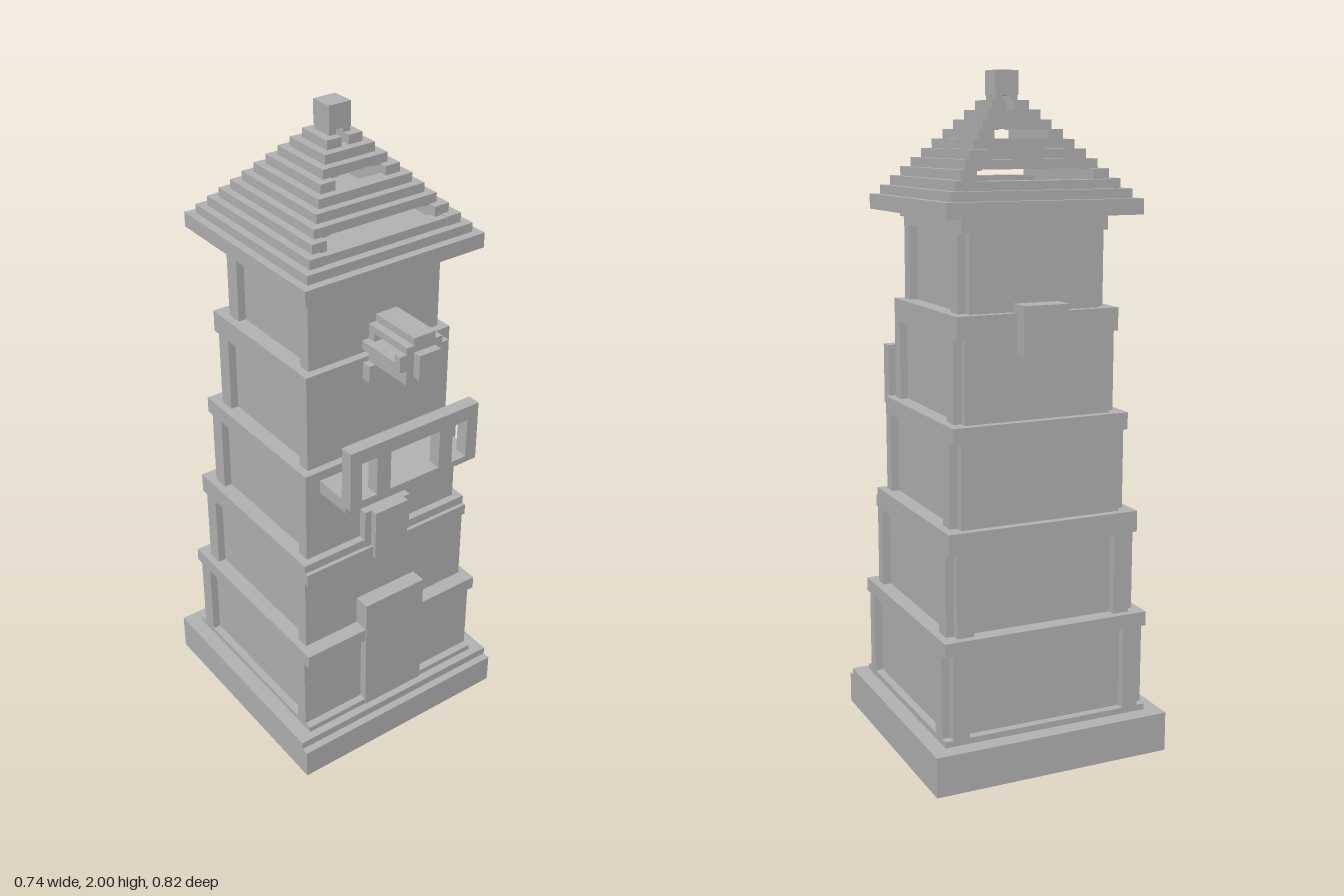
import * as THREE from 'three';

const ZC = -0.038; // depth centre of the tower shaft
const V = 0.0245; // block size

export function createModel() {
  const model = new THREE.Group();
  const stone = new THREE.MeshStandardMaterial({ color: 0xb3b3b3 });
  stone.name = 'stone grey';

  // Box given by its min and max on each axis
  function box(parent, name, x0, x1, y0, y1, z0, z1) {
    const mesh = new THREE.Mesh(new THREE.BoxGeometry(x1 - x0, y1 - y0, z1 - z0), stone);
    mesh.position.set((x0 + x1) / 2, (y0 + y1) / 2, (z0 + z1) / 2);
    mesh.name = name;
    parent.add(mesh);
  }
  // The same box on both sides, x0 and x1 measured outward
  function pair(parent, name, x0, x1, ...rest) {
    box(parent, name, x0, x1, ...rest);
    box(parent, name, -x1, -x0, ...rest);
  }
  function group(name) {
    const g = new THREE.Group();
    g.name = name;
    model.add(g);
    return g;
  }

  // Base with a low front step
  const base = group('base');
  box(base, 'plinth', -0.37, 0.37, 0, 0.12, -0.41, 0.311);
  box(base, 'frontStep', -0.37, 0.37, 0, 0.095, 0.311, 0.335);

  // Shaft storeys: half width, bottom, top, underside of the band, panelled back
  const tiers = [
    [0.323, 0.12, 0.43, 0.387, true],
    [0.3, 0.43, 0.737, 0.674, true],
    [0.276, 0.737, 1.03, 0.98, false],
    [0.252, 1.03, 1.335, 1.268, false],
    [0.227, 1.335, 1.6, 1.556, false],
  ];
  tiers.forEach(([h, y0, y1, yb, backPanel], i) => {
    const g = group('storey' + (i + 1));
    const front = ZC + h - V, back = ZC - h;
    box(g, 'core', -h + V, h - V, y0, y1, back + V, front - 0.002);
    box(g, 'band', -h, h, yb, y1, back, i === 0 ? ZC + h : front);
    pair(g, 'frontPillar', h - V, h, y0, yb, ZC + h - 0.065, front);
    pair(g, 'sideBackPillar', h - V, h, y0, yb, back + V, back + 0.075);
    box(g, 'frontWall', -h + V, h - V, y0, yb, front - V, front);
    if (backPanel) pair(g, 'backPillar', h - 0.075, h - V, y0, yb, back, back + V);
    else box(g, 'backWall', -h + V, h - V, y0, yb, back, back + V);
    if (i === 0) box(g, 'foot', -h, h, y0, 0.138, back, ZC + h);
  });

  // Door surround and the small window above it
  box(model, 'doorSurround', -0.11, 0.11, 0.12, 0.525, 0.2, 0.288);
  box(model, 'windowSill', -0.3, 0.3, 0.674, 0.71, 0.2, 0.25);
  box(model, 'windowFrame', -0.083, 0.083, 0.71, 0.838, 0.215, 0.24);
  box(model, 'windowPanel', -0.06, 0.06, 0.674, 0.838, 0.215, 0.262);

  // Balcony
  const balcony = group('balcony');
  box(balcony, 'floor', -0.227, 0.227, 0.96, 1.0, 0.19, 0.338);
  box(balcony, 'bottomRail', -0.227, 0.227, 0.98, 1.0, 0.32, 0.361);
  box(balcony, 'topRail', -0.227, 0.227, 1.125, 1.17, 0.32, 0.361);
  pair(balcony, 'outerPost', 0.188, 0.227, 1.0, 1.125, 0.32, 0.361);
  pair(balcony, 'innerPost', 0.087, 0.135, 1.0, 1.125, 0.32, 0.361);

  // Hanging lantern on a bracket
  const lantern = group('lantern');
  box(lantern, 'bracket', -0.06, 0.06, 1.268, 1.32, 0.18, 0.22);
  box(lantern, 'strut', -0.012, 0.012, 1.315, 1.34, 0.215, 0.312);
  box(lantern, 'bottom', -0.06, 0.06, 1.34, 1.362, 0.215, 0.383);
  box(lantern, 'top', -0.06, 0.06, 1.435, 1.456, 0.215, 0.383);
  box(lantern, 'topRidge', -0.036, 0.036, 1.456, 1.478, 0.215, 0.383);
  box(lantern, 'middleBar', -0.083, 0.083, 1.385, 1.41, 0.215, 0.383);
  box(lantern, 'frontPlate', -0.06, 0.06, 1.362, 1.435, 0.362, 0.383);
  pair(lantern, 'frontEar', 0.06, 0.083, 1.385, 1.435, 0.362, 0.383);
  box(lantern, 'backPlate', -0.06, 0.06, 1.362, 1.435, 0.215, 0.24);
  box(lantern, 'boss', -0.036, 0.036, 1.36, 1.435, 0.383, 0.408);

  // Block on the back wall
  box(model, 'backBlock', -0.07, 0.07, 1.22, 1.36, -0.336, -0.27);

  // Roof: eaves, stepped side slopes and a few cross boards
  const roof = group('roof');
  box(roof, 'frontLintel', -0.227, 0.227, 1.58, 1.6, 0.15, 0.2);
  box(roof, 'eave', -0.3, 0.3, 1.6, 1.645, ZC - 0.302, ZC + 0.3);
  box(roof, 'upperEave', -0.276, 0.276, 1.645, 1.672, ZC - 0.278, ZC + 0.275);
  box(roof, 'frontFoot', -0.252, 0.252, 1.672, 1.697, ZC + 0.205, ZC + 0.25);
  box(roof, 'backFoot', -0.252, 0.252, 1.672, 1.697, ZC - 0.252, ZC - 0.205);
  for (let i = 0; i < 10; i++) {
    const h = 0.252 - i * 0.0242, top = 1.7 + i * 0.027;
    pair(roof, 'sideStep', Math.max(h - 0.048, 0.012), h, top - 0.03, top, ZC - h, ZC + h);
    // Front and back boards leave open slots between them
    if ([2, 3, 4, 6, 7].includes(i)) {
      const inner = Math.max(h - 0.048, 0.02);
      box(roof, 'frontStep', -h, h, top - 0.027, top, ZC + inner, ZC + h);
      box(roof, 'backStep', -h, h, top - 0.027, top, ZC - h, ZC - inner);
    }
  }
  box(roof, 'finial', -0.036, 0.036, 1.93, 2.0, ZC - 0.036, ZC + 0.036);

  return model;
}
